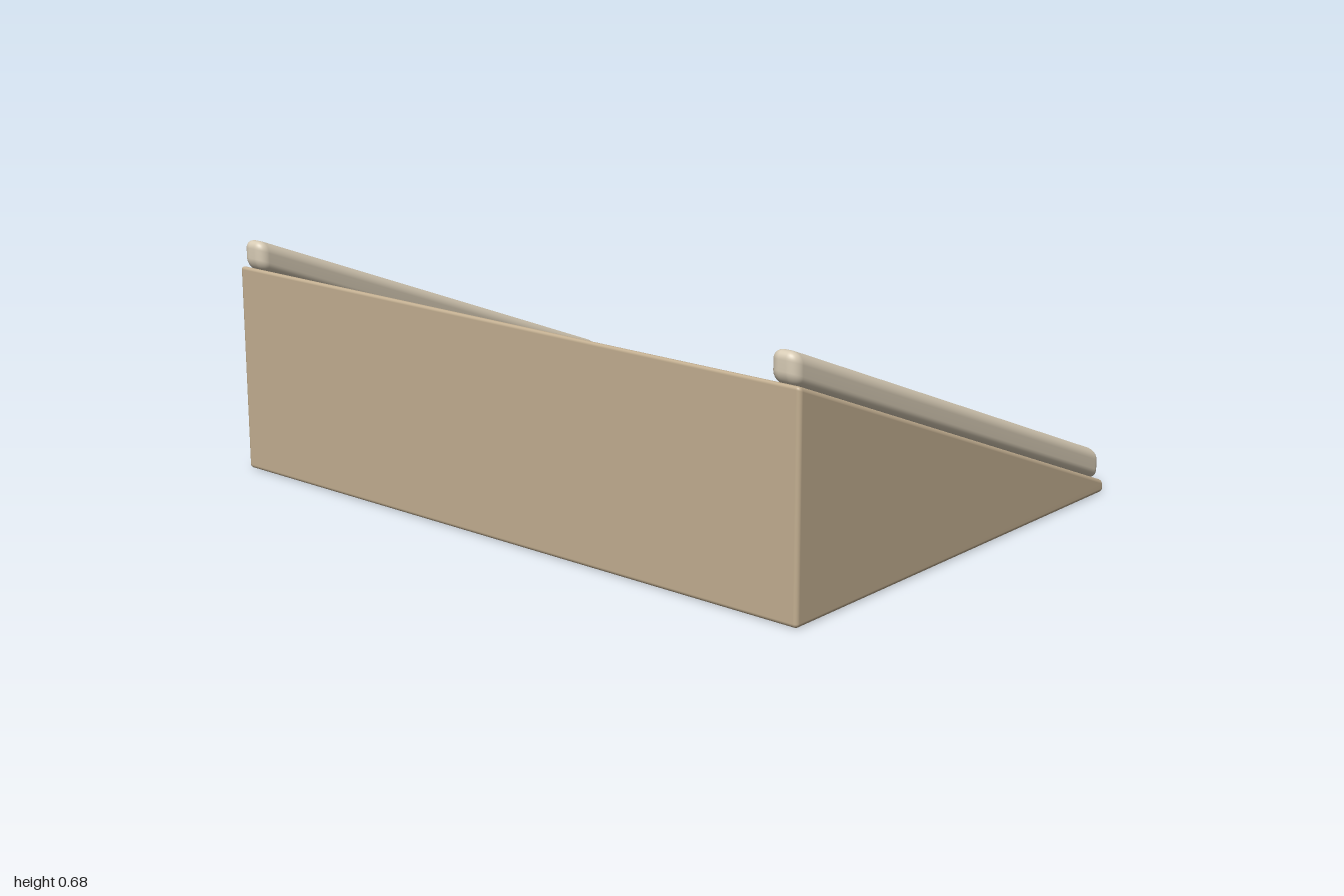
import * as THREE from 'three';
import { RoundedBoxGeometry } from 'three/addons/geometries/RoundedBoxGeometry.js';
import { mergeVertices } from 'three/addons/utils/BufferGeometryUtils.js';

const LENGTH = 1.41;
const SLOPE = -0.403;

// Rounded block whose top and bottom follow the given heights along x
function slopedBlock(depth, radius, bottomAt, topAt) {
  const h = radius * 2 + 0.005;
  let g = new RoundedBoxGeometry(LENGTH, h, depth, 5, radius);
  const p = g.attributes.position;
  for (let i = 0; i < p.count; i++) {
    const x = p.getX(i), y = p.getY(i);
    p.setY(i, y > 0 ? y - h / 2 + topAt(x) : y + h / 2 + bottomAt(x));
  }
  g.clearGroups();
  g.deleteAttribute('normal');
  g.deleteAttribute('uv');
  g = mergeVertices(g, 1e-5);
  g.computeVertexNormals();
  return g;
}

export function createModel() {
  const model = new THREE.Group();
  model.name = 'ramp';

  const tan = new THREE.MeshStandardMaterial({ color: 0xc2ae90 });
  tan.name = 'tan';
  const paleStone = new THREE.MeshStandardMaterial({ color: 0xd8ccb6 });
  paleStone.name = 'paleStone';

  // Wedge body: flat base, sloped top, short toe at the low end
  const wedge = new THREE.Mesh(
    slopedBlock(2, 0.012, () => 0, (x) => 0.317 + SLOPE * x), tan);
  wedge.name = 'wedge';
  model.add(wedge);

  // Side rails running down both edges of the slope
  const railGeometry = slopedBlock(0.081, 0.03,
    (x) => 0.313 + SLOPE * x, (x) => 0.401 + SLOPE * x);
  for (const side of [1, -1]) {
    const rail = new THREE.Mesh(railGeometry, paleStone);
    rail.name = side > 0 ? 'frontRail' : 'backRail';
    rail.position.z = side * 0.946;
    model.add(rail);
  }
  return model;
}
